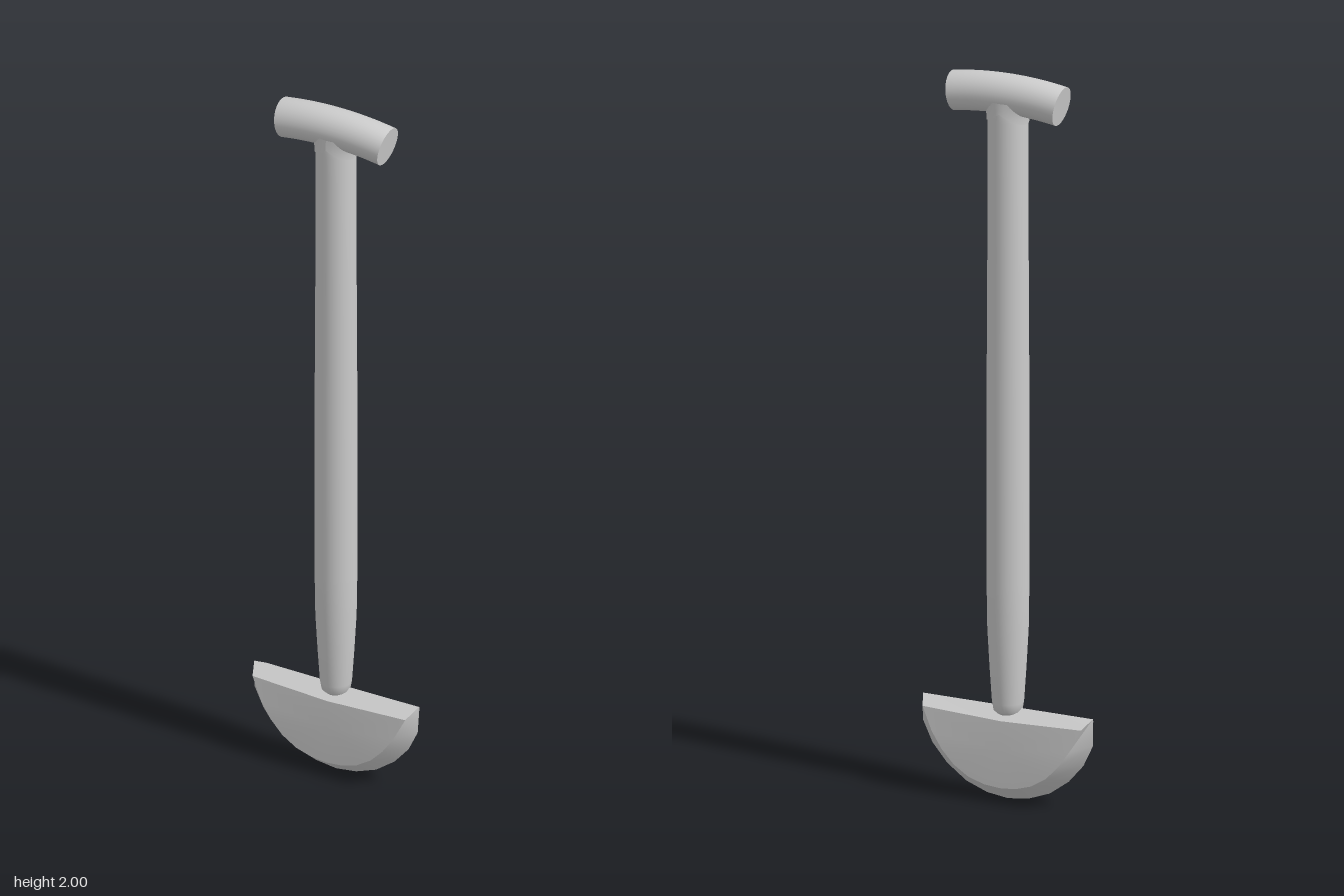
import * as THREE from 'three';
import { toCreasedNormals } from 'three/addons/utils/BufferGeometryUtils.js';

// Half-moon blade: a sharp rim at z = 0 bevelled up to a raised plate on both sides
function bladeGeometry() {
  const rimHalf = [[0.244, 0.255], [0.244, 0.18], [0.217, 0.122], [0.175, 0.072], [0.12, 0.031], [0.06, 0.008], [0, 0]];
  const plateHalf = [[0.228, 0.233, 0.038], [0.197, 0.17, 0.047], [0.167, 0.126, 0.05], [0.132, 0.089, 0.051],
    [0.09, 0.062, 0.051], [0.045, 0.048, 0.051], [0, 0.044, 0.051]];
  // mirror a half outline into a counter-clockwise loop, closed over the top middle
  const loop = (half, top) => [
    ...half.map(([x, y, z = 0]) => [-x, y, z]),
    ...half.slice(0, -1).reverse().map(([x, y, z = 0]) => [x, y, z]),
    top,
  ];
  const rim = loop(rimHalf, [0, 0.255, 0]);
  const plate = loop(plateHalf, [0, 0.227, 0.045]);
  const middle = [0, 0.15, 0.051];
  const pos = [];
  const tri = (a, b, c) => {
    pos.push(...a, ...b, ...c);
    for (const [x, y, z] of [a, c, b]) pos.push(x, y, -z);
  };
  rim.forEach((r, i) => {
    const j = (i + 1) % rim.length;
    tri(middle, plate[i], plate[j]);
    tri(r, rim[j], plate[j]);
    tri(r, plate[j], plate[i]);
  });
  const g = new THREE.BufferGeometry();
  g.setAttribute('position', new THREE.Float32BufferAttribute(pos, 3));
  return toCreasedNormals(g, 0.5);
}

// Saddle collar: its lower edge dips at the left and right and arches at front and back
function collarGeometry() {
  const g = new THREE.CylinderGeometry(0.054, 0.056, 0.06, 32, 4, true);
  const p = g.attributes.position;
  for (let i = 0; i < p.count; i++) {
    const x = p.getX(i), z = p.getZ(i);
    const t = p.getY(i) / 0.06 + 0.5;
    const side = Math.abs(x) / Math.hypot(x, z);
    const bottom = 1.906 - 0.034 * side;
    p.setXYZ(i, x * (1 + 0.3 * t * t), bottom + (1.935 - bottom) * t, z);
  }
  g.computeVertexNormals();
  return g;
}

export function createModel() {
  const grey = new THREE.MeshStandardMaterial({ color: 0xcccccc });
  grey.name = 'grey';
  const greyOpen = grey;
  greyOpen.side = THREE.DoubleSide;
  const model = new THREE.Group();
  model.name = 'edgingTool';
  const add = (name, geometry, parent = model) => {
    const mesh = new THREE.Mesh(geometry, grey);
    mesh.name = name;
    parent.add(mesh);
    return mesh;
  };

  add('blade', bladeGeometry());

  // Round shaft, tapered to a blunt foot on the blade
  const profile = [[0, 0.235], [0.028, 0.237], [0.038, 0.247], [0.042, 0.27], [0.048, 0.36], [0.054, 0.47],
    [0.056, 0.6], [0.056, 1.1], [0.054, 1.5], [0.054, 1.88], [0.05, 1.9], [0.05, 1.94]];
  add('shaft', new THREE.LatheGeometry(profile.map(([x, y]) => new THREE.Vector2(x, y)), 32));

  add('collar', collarGeometry());

  // Gently arched cross handle with flat ends
  const handle = new THREE.Group();
  handle.name = 'handle';
  model.add(handle);
  const arch = new THREE.QuadraticBezierCurve3(
    new THREE.Vector3(-0.154, 1.934, 0), new THREE.Vector3(0, 1.96, 0), new THREE.Vector3(0.154, 1.934, 0));
  add('grip', new THREE.TubeGeometry(arch, 16, 0.053, 32, false), handle);
  for (const [name, t, sign] of [['rightEnd', 0, -1], ['leftEnd', 1, 1]]) {
    const cap = add(name, new THREE.CircleGeometry(0.053, 32), handle);
    cap.position.copy(arch.getPoint(t));
    cap.lookAt(cap.position.clone().addScaledVector(arch.getTangent(t), sign));
  }
  return model;
}
